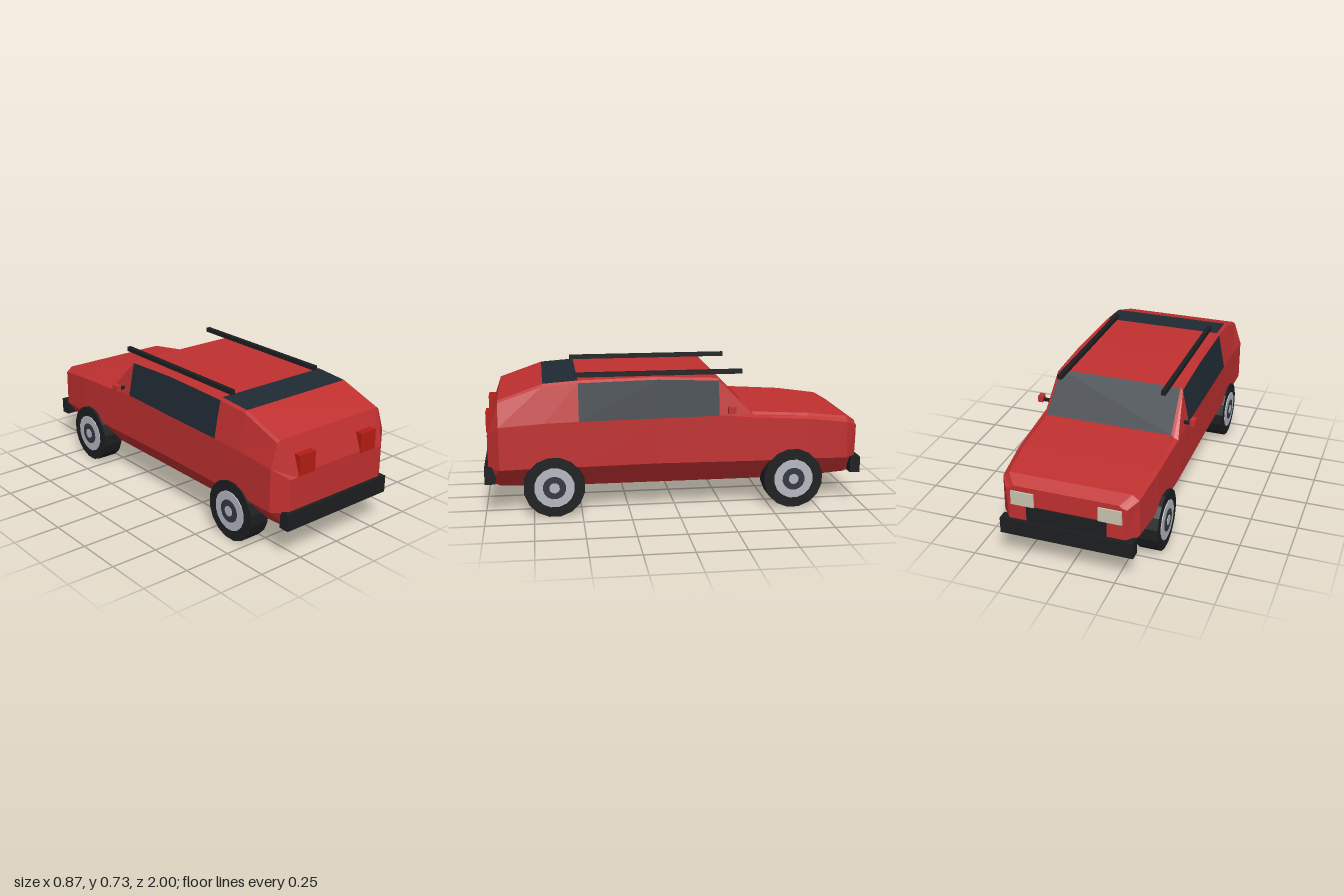
import * as THREE from 'three';

const mat = (color, side = THREE.FrontSide) =>
  new THREE.MeshStandardMaterial({ color, flatShading: true, side });
const paint = mat(0xc03030);
const glass = mat(0x1f2a33);
const black = mat(0x1c1e20);
const rimGrey = mat(0xb4b8c0);
const hubGrey = mat(0x343842);
const lampRed = mat(0xb51c14);
const lampCream = mat(0xc8c4b0);

// Hull sections from tail to nose:
// z, floor half-width, floor y, sill half-width, sill y, belt half-width, belt y, top half-width, top y
const SECTIONS = [
  [0.98, 0.27, 0.17, 0.31, 0.25, 0.31, 0.425, 0.27, 0.44],
  [0.92, 0.28, 0.145, 0.385, 0.255, 0.385, 0.48, 0.345, 0.612],
  [0.69, 0.285, 0.137, 0.385, 0.26, 0.385, 0.495, 0.345, 0.692],
  [0.51, 0.285, 0.137, 0.385, 0.26, 0.385, 0.5, 0.347, 0.705],
  [0.1, 0.285, 0.137, 0.385, 0.265, 0.385, 0.505, 0.347, 0.713],
  [-0.22, 0.285, 0.137, 0.385, 0.262, 0.383, 0.51, 0.347, 0.7],
  [-0.4, 0.285, 0.137, 0.385, 0.26, 0.38, 0.495, 0.357, 0.518],
  [-0.7, 0.285, 0.14, 0.375, 0.26, 0.37, 0.475, 0.35, 0.5],
  [-0.92, 0.28, 0.155, 0.352, 0.25, 0.35, 0.445, 0.33, 0.472],
  [-0.98, 0.27, 0.17, 0.3, 0.245, 0.31, 0.42, 0.285, 0.438],
];

// Closed ring of ten points, counter-clockwise seen from the tail
function ring([z, wf, yf, ws, ys, wb, yb, wt, yt]) {
  const half = [[wf, yf], [ws, ys], [wb, yb], [wt, yt - 0.012], [wt - 0.014, yt]];
  const mirrored = half.map(([x, y]) => [-x, y]).reverse();
  return [...half, ...mirrored].map(([x, y]) => new THREE.Vector3(x, y, z));
}

// Which panel a cell of the hull belongs to
function panelOf(slice, edge) {
  if (edge === 9) return 'floor';
  if (edge === 4 && slice === 2) return 'rearWindow';
  if (edge === 4 && slice === 5) return 'windscreen';
  if ((edge === 2 || edge === 6) && (slice === 3 || slice === 4)) return 'sideWindows';
  return 'bodyShell';
}

function buildHull(group) {
  const panels = { bodyShell: [], floor: [], rearWindow: [], windscreen: [], sideWindows: [] };
  const rings = SECTIONS.map(ring);
  const n = rings[0].length;
  for (let s = 0; s < rings.length - 1; s++) {
    for (let i = 0; i < n; i++) {
      const k = (i + 1) % n;
      const [a, b, c, d] = [rings[s][i], rings[s + 1][i], rings[s + 1][k], rings[s][k]];
      panels[panelOf(s, i)].push(a, b, c, a, c, d);
    }
  }
  // Tail and nose caps
  const tail = rings[0], nose = rings[rings.length - 1];
  for (let i = 1; i < n - 1; i++) {
    panels.bodyShell.push(tail[0], tail[i], tail[i + 1], nose[0], nose[i + 1], nose[i]);
  }
  const materials = { bodyShell: paint, floor: black };
  for (const [name, points] of Object.entries(panels)) {
    const geometry = new THREE.BufferGeometry().setFromPoints(points);
    geometry.computeVertexNormals();
    const mesh = new THREE.Mesh(geometry, materials[name] || glass);
    mesh.name = name;
    group.add(mesh);
  }
}

// Box given by its extents on each axis
function box(group, name, material, [x0, x1], [y0, y1], [z0, z1]) {
  const mesh = new THREE.Mesh(new THREE.BoxGeometry(x1 - x0, y1 - y0, z1 - z0), material);
  mesh.position.set((x0 + x1) / 2, (y0 + y1) / 2, (z0 + z1) / 2);
  mesh.name = name;
  group.add(mesh);
}

// Wheel as stacked discs along x, outer face towards the given side
function wheel(name, side, z) {
  const g = new THREE.Group();
  g.name = name;
  const disc = (part, material, r, x0, x1) => {
    const geometry = new THREE.CylinderGeometry(r, r, x1 - x0, 16);
    geometry.rotateY(Math.PI / 16).rotateZ(Math.PI / 2);
    const mesh = new THREE.Mesh(geometry, material);
    mesh.position.x = (side * (x0 + x1)) / 2;
    mesh.name = part;
    g.add(mesh);
  };
  disc('tyre', black, 0.159, 0.282, 0.394);
  disc('rim', rimGrey, 0.105, 0.3, 0.399);
  disc('hub', hubGrey, 0.06, 0.3, 0.402);
  disc('hubCap', rimGrey, 0.027, 0.3, 0.405);
  g.position.set(0, 0.157, z);
  return g;
}

export function createModel() {
  const car = new THREE.Group();
  car.name = 'car';
  buildHull(car);

  // Bumpers and grille
  box(car, 'rearBumper', black, [-0.34, 0.34], [0.17, 0.26], [0.945, 1]);
  box(car, 'frontBumper', black, [-0.345, 0.345], [0.165, 0.25], [-1, -0.945]);
  box(car, 'grille', black, [-0.205, 0.205], [0.25, 0.335], [-0.99, -0.96]);

  // Mirrored parts: the nose points to -z
  for (const side of [-1, 1]) {
    const label = side > 0 ? 'left' : 'right';
    const span = (a, b) => (side > 0 ? [a, b] : [-b, -a]);
    box(car, label + 'TailLight', lampRed, span(0.157, 0.26), [0.43, 0.535], [0.945, 0.985]);
    box(car, label + 'Headlight', lampCream, span(0.165, 0.285), [0.335, 0.41], [-0.988, -0.96]);
    box(car, label + 'RoofRail', black, span(0.27, 0.294), [0.712, 0.735], [-0.355, 0.53]);
    box(car, label + 'MirrorArm', black, span(0.35, 0.412), [0.531, 0.546], [-0.287, -0.272]);
    box(car, label + 'Mirror', paint, span(0.409, 0.437), [0.528, 0.563], [-0.298, -0.258]);
    car.add(wheel(label + 'TailWheel', side, 0.643));
    car.add(wheel(label + 'NoseWheel', side, -0.62));
  }
  return car;
}
